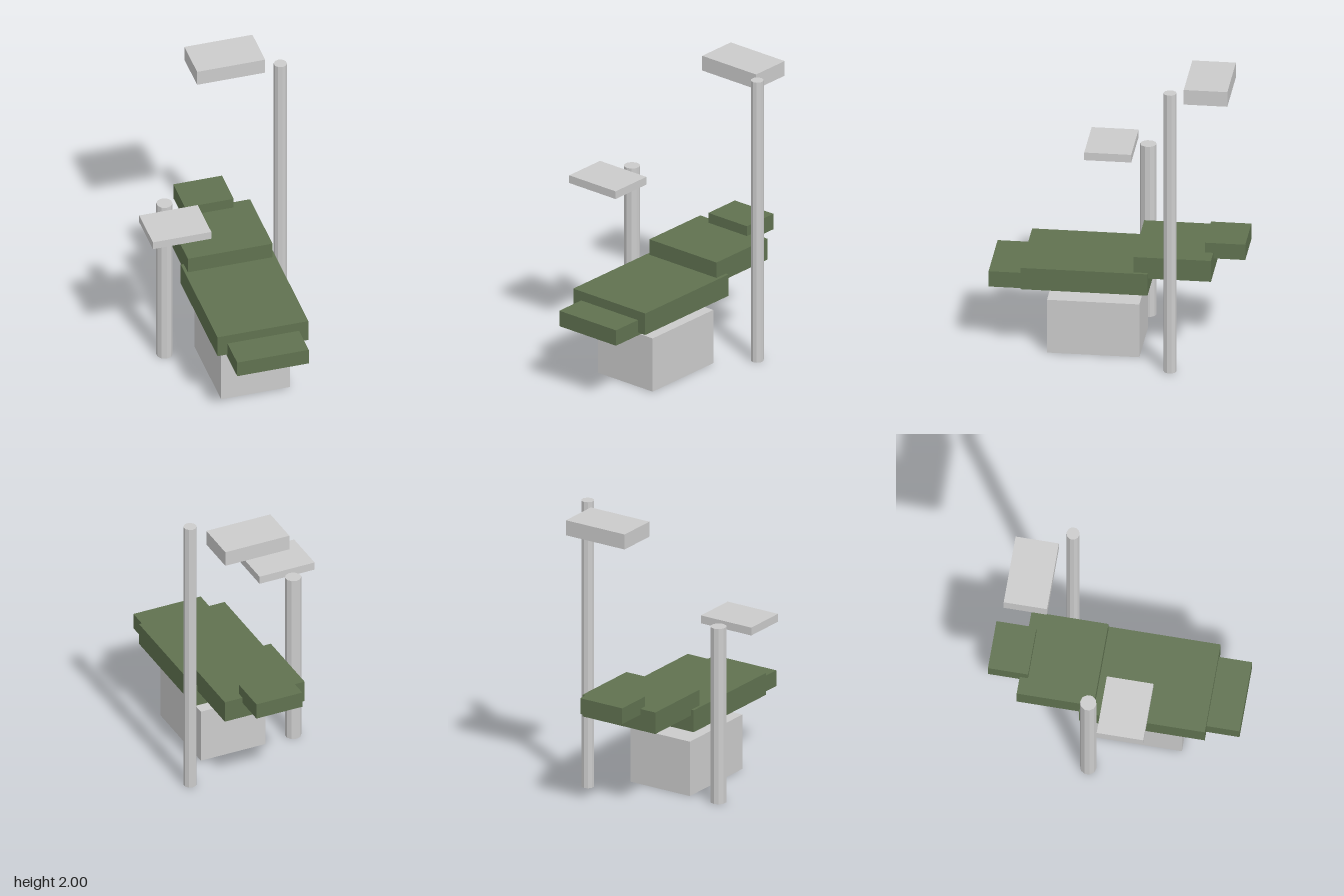
import * as THREE from 'three';

const TURN = 0.108; // the whole set stands slightly turned about y

export function createModel() {
  const model = new THREE.Group();
  const grey = new THREE.MeshStandardMaterial({ color: 0xcccccc, flatShading: true });
  const green = new THREE.MeshStandardMaterial({ color: 0x607250, flatShading: true });

  const add = (name, geometry, material, x, y, z) => {
    const mesh = new THREE.Mesh(geometry, material);
    mesh.name = name;
    mesh.position.set(x, y, z);
    mesh.rotation.y = TURN;
    model.add(mesh);
  };
  // Block given by its centre, bottom and top heights, width and length
  const block = (name, material, x, z, y0, y1, width, length) =>
    add(name, new THREE.BoxGeometry(width, y1 - y0, length), material, x, (y0 + y1) / 2, z);
  // Ten-sided upright standing on the floor
  const post = (name, x, z, radius, height) =>
    add(name, new THREE.CylinderGeometry(radius, radius, height, 10), grey, x, height / 2, z);

  // Pedestal
  block('base', grey, 0.126, 0.148, 0, 0.38, 0.469, 0.608);

  // Stepped upholstery, from foot to head
  block('legRest', green, 0.186, 0.666, 0.46, 0.57, 0.488, 0.331);
  block('seat', green, 0.133, 0.198, 0.482, 0.635, 0.62, 0.835);
  block('backRest', green, 0.07, -0.376, 0.595, 0.745, 0.578, 0.51);
  block('headRest', green, 0.029, -0.706, 0.705, 0.815, 0.332, 0.266);

  // Instrument tray and its post
  post('trayPost', -0.347, -0.083, 0.054, 1.225);
  block('tray', grey, -0.32, 0.159, 1.175, 1.23, 0.399, 0.309);

  // Overhead lamp and its pole
  post('lampPole', 0.487, -0.423, 0.0435, 2);
  block('lamp', grey, 0.153, -0.612, 1.885, 1.99, 0.464, 0.287);

  return model;
}
